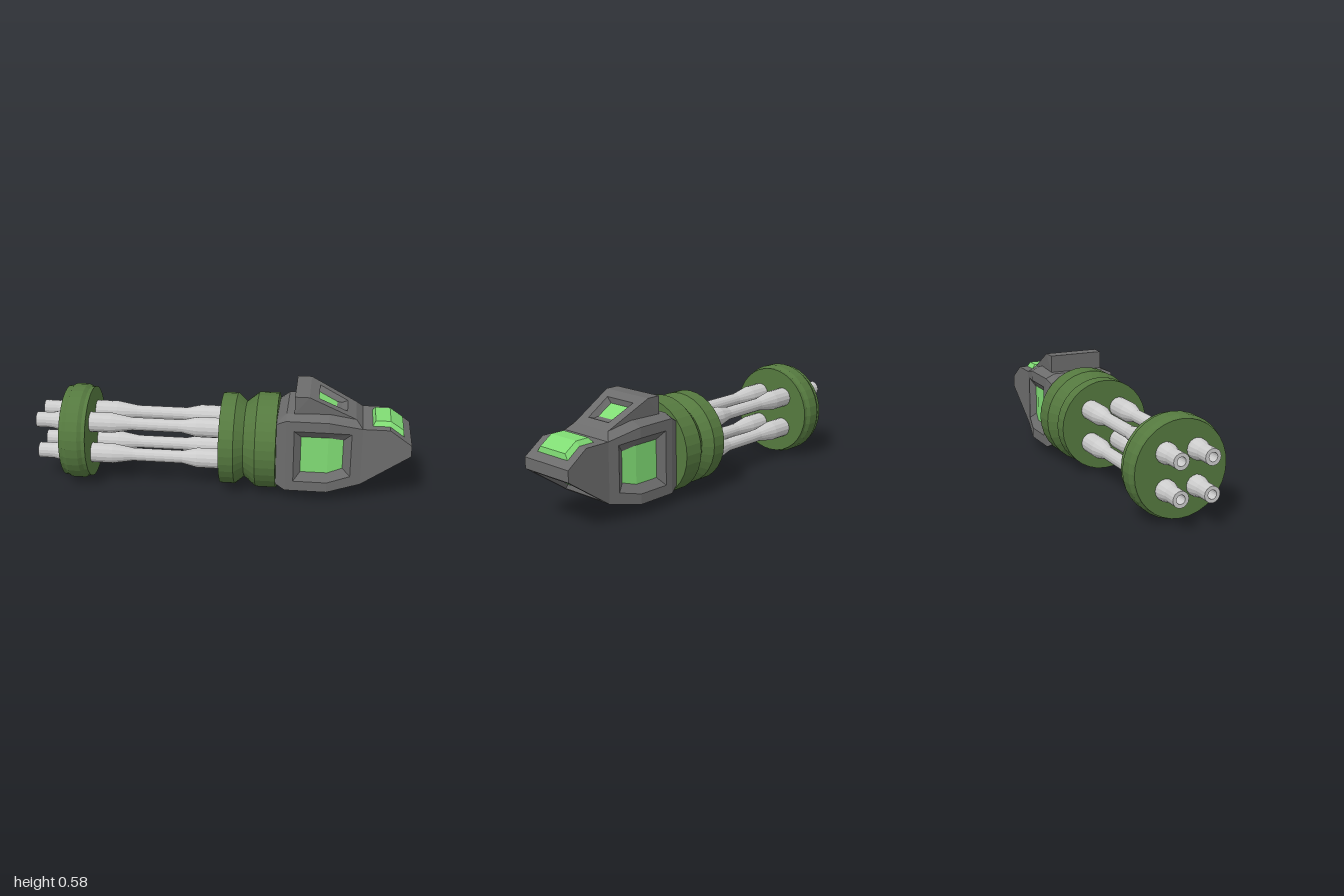
import * as THREE from 'three';

const material = (color) => new THREE.MeshStandardMaterial({ color, flatShading: true });
const steel = material(0xcccccc);
const darkGrey = material(0x6c6c6c);
const darkGreen = material(0x55793f);
const lightGreen = material(0x80dc74);
const AXIS_Y = 0.26;

// Collects flat faces; corners run counter-clockwise seen from outside
class Faces {
  constructor() { this.tris = []; }
  face(...pts) {
    for (let i = 1; i < pts.length - 1; i++) this.tris.push([pts[0], pts[i], pts[i + 1]]);
  }
  // Band between two loops with equal corner counts
  ring(outer, inner) {
    outer.forEach((p, i) => {
      const j = (i + 1) % outer.length;
      this.face(p, outer[j], inner[j], inner[i]);
    });
  }
  // Faces across the width, following a profile of [x, y, halfWidth]
  span(profile) {
    for (let i = 0; i < profile.length - 1; i++) this.face(...acrossLoop(profile[i], profile[i + 1]));
  }
  // Adds the same faces on the -z side
  mirror() {
    const flip = ([x, y, z]) => [x, y, -z];
    this.tris.push(...this.tris.map(([a, b, c]) => [flip(a), flip(c), flip(b)]));
  }
  mesh(name, mat) {
    const geo = new THREE.BufferGeometry();
    geo.setAttribute('position', new THREE.Float32BufferAttribute(this.tris.flat(2), 3));
    geo.computeVertexNormals();
    const mesh = new THREE.Mesh(geo, mat);
    mesh.name = name;
    return mesh;
  }
}

function acrossLoop(a, b) {
  return [a, b, [b[0], b[1], -b[2]], [a[0], a[1], -a[2]]];
}

// Turned part along x, profile of [x, radius]
function turned(name, profile, sides, mat, y, z) {
  const geo = new THREE.LatheGeometry(profile.map(([x, r]) => new THREE.Vector2(r, x)), sides);
  geo.rotateZ(-Math.PI / 2);
  const mesh = new THREE.Mesh(geo, mat);
  mesh.name = name;
  mesh.position.set(0, y, z);
  return mesh;
}

function buildHead() {
  const head = new THREE.Group();
  head.name = 'head';
  const sideZ = (x) => 0.2 - 0.24 * Math.max(0, x - 0.57);
  const onSide = (pts, depth) => pts.map(([x, y]) => [x, y, sideZ(x) - depth]);

  // Side walls with a folded, recessed window
  const walls = new Faces();
  const panel = onSide([[0.35, 0.063], [0.57, 0.063], [0.745, 0.1], [0.745, 0.417], [0.57, 0.46], [0.35, 0.46]], 0);
  const rim = onSide([[0.393, 0.118], [0.57, 0.118], [0.69, 0.148], [0.69, 0.39], [0.57, 0.405], [0.393, 0.405]], 0);
  const pane = onSide([[0.428, 0.16], [0.57, 0.16], [0.648, 0.183], [0.648, 0.345], [0.57, 0.362], [0.428, 0.362]], 0.035);
  walls.ring(panel, rim);
  walls.ring(rim, pane);
  const glass = new Faces();
  glass.face(pane[0], pane[1], pane[4], pane[5]);
  glass.face(pane[1], pane[2], pane[3], pane[4]);

  // Rear taper, shoulders and nose cheek
  const w = 0.158;
  const rearLow = [0.295, 0.09, 0.18], rearHigh = [0.295, 0.43, 0.18], rearRoof = [0.295, 0.44, 0.13];
  const roofA = [0.35, 0.483, 0.15], roofB = [0.57, 0.483, 0.15], roofC = [0.71, 0.455, 0.12];
  walls.face(rearLow, panel[0], panel[5], rearHigh);
  walls.face(rearHigh, panel[5], roofA, rearRoof);
  walls.face(panel[5], panel[4], roofB, roofA);
  walls.face(panel[4], panel[3], roofC, roofB);
  walls.face([0.745, 0.1, w], [1, 0.275, w], [1, 0.335, w], [0.885, 0.417, w], [0.745, 0.417, w]);
  walls.mirror();
  glass.mirror();

  // Roof, nose and belly
  const noseTip = [1, 0.275, w], chin = [0.745, 0.1, w];
  walls.span([rearRoof, roofA, roofB, roofC, [0.745, 0.417, w], [0.885, 0.417, w], [1, 0.335, w], noseTip]);
  walls.span([chin, [0.57, 0.063, 0.2], [0.35, 0.063, 0.2], rearLow]);

  // Recessed window under the nose
  const chinRim = acrossLoop([0.978, 0.26, 0.131], [0.774, 0.12, 0.131]);
  const chinPane = acrossLoop([0.954, 0.27, 0.116], [0.772, 0.145, 0.116]);
  walls.ring(acrossLoop(noseTip, chin), chinRim);
  walls.ring(chinRim, chinPane);
  glass.face(...chinPane);

  // Raised cowl with a sloping window
  const cowl = new Faces();
  const cowlBack = [0.39, 0.577, 0.15], cowlFront = [0.465, 0.577, 0.15];
  cowl.face([0.39, 0.483, 0.15], roofB, roofC, cowlFront, cowlBack);
  cowl.mirror();
  cowl.span([[0.39, 0.483, 0.15], cowlBack, cowlFront]);
  const cowlRim = acrossLoop([0.513, 0.553, 0.093], [0.662, 0.479, 0.072]);
  const cowlPane = acrossLoop([0.511, 0.523, 0.07], [0.622, 0.468, 0.058]);
  cowl.ring(acrossLoop(cowlFront, roofC), cowlRim);
  cowl.ring(cowlRim, cowlPane);
  glass.face(...cowlPane);

  // Bevelled block bent over the nose
  const block = new Faces();
  const base = [[0.795, 0.415, 0.111], [0.885, 0.415, 0.111], [0.96, 0.362, 0.111]];
  const top = [[0.81, 0.44, 0.09], [0.888, 0.44, 0.09], [0.957, 0.393, 0.09]];
  for (let i = 0; i < 2; i++) block.face(base[i], base[i + 1], top[i + 1], top[i]);
  block.mirror();
  block.span([base[0], ...top, base[2]]);

  head.add(
    walls.mesh('headShell', darkGrey),
    cowl.mesh('cowl', darkGrey),
    glass.mesh('windows', lightGreen),
    block.mesh('noseBlock', lightGreen),
  );
  return head;
}

export function createModel() {
  const model = new THREE.Group();
  model.name = 'rotaryBlaster';

  // Four barrels with hollow muzzles
  const barrel = [
    [-0.93, 0], [-0.93, 0.023], [-1, 0.023], [-1, 0.042], [-0.92, 0.042], [-0.87, 0.054],
    [-0.59, 0.054], [-0.48, 0.035], [-0.21, 0.035], [-0.13, 0.054], [0.02, 0.054],
  ];
  for (const dy of [-0.091, 0.091]) {
    for (const z of [-0.083, 0.083]) model.add(turned('barrel', barrel, 16, steel, AXIS_Y + dy, z));
  }

  // Ring that holds the muzzles
  model.add(turned('muzzleRing', [
    [-0.85, 0], [-0.85, 0.246], [-0.832, 0.246], [-0.812, 0.258], [-0.748, 0.258],
    [-0.728, 0.246], [-0.708, 0.246], [-0.708, 0],
  ], 32, darkGreen, AXIS_Y, 0));

  // Grooved drum behind the barrels
  model.add(turned('drum', [
    [0, 0], [0, 0.246], [0.078, 0.246], [0.127, 0.204], [0.192, 0.257], [0.3, 0.257], [0.3, 0],
  ], 32, darkGreen, AXIS_Y, 0));

  model.add(buildHead());
  model.position.y = -0.002;
  const root = new THREE.Group();
  root.name = 'model';
  root.add(model);
  return root;
}
